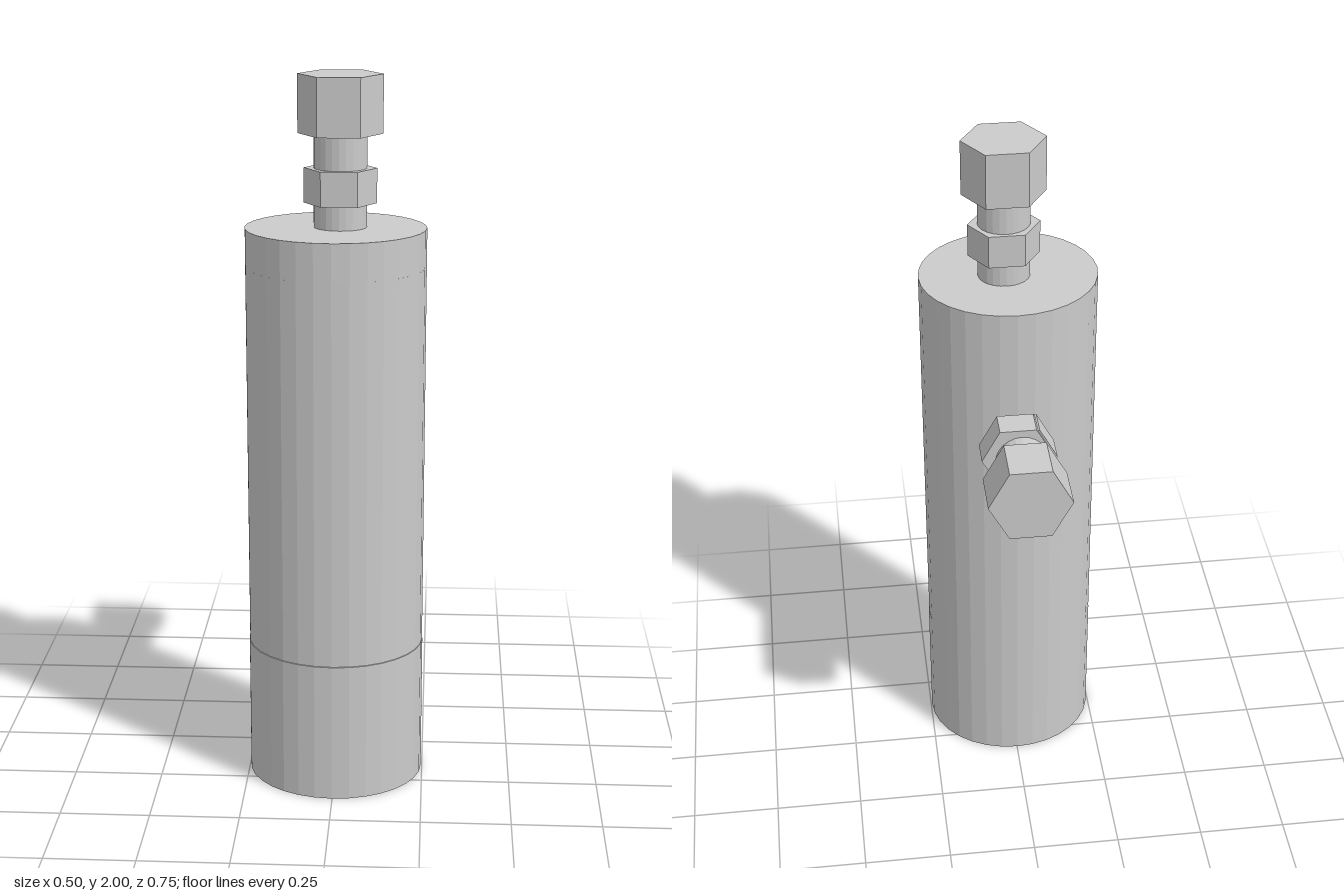
import * as THREE from 'three';

const material = new THREE.MeshStandardMaterial({ color: 0xcccccc, flatShading: true });

// Elliptical prism: rx across, rd in depth, running from 'from' to 'to' along its axis.
function prism(name, sides, rx, rd, from, to) {
  const start = sides === 6 ? Math.PI / 6 : 0; // hexagon corners point to +-x
  const geometry = new THREE.CylinderGeometry(1, 1, to - from, sides, 1, false, start);
  geometry.scale(rx, 1, rd);
  geometry.translate(0, (from + to) / 2, 0);
  const mesh = new THREE.Mesh(geometry, material);
  mesh.name = name;
  return mesh;
}

export function createModel() {
  const model = new THREE.Group();
  model.name = 'cylinderWithFittings';

  // Body in three stacked sections with fine joints
  const body = new THREE.Group();
  body.name = 'body';
  const sections = [
    ['bottomSection', 0, 0.4, 0.248, 0.225, 0.150],
    ['middleSection', 0.4, 1.485, 0.247, 0.224, 0.147],
    ['topSection', 1.485, 1.59, 0.247, 0.225, 0.146],
  ];
  for (const [name, from, to, rx, rz, z] of sections) {
    const part = prism(name, 32, rx, rz, from, to);
    part.position.set(-0.001, 0, z);
    body.add(part);
  }
  model.add(body);

  // Upright fitting on the top cap
  const topFitting = new THREE.Group();
  topFitting.name = 'topFitting';
  topFitting.position.set(0.011, 0, 0.139);
  topFitting.add(
    prism('topStem', 24, 0.072, 0.065, 1.585, 1.845),
    prism('topLockNut', 6, 0.099, 0.086, 1.655, 1.75),
    prism('topCapNut', 6, 0.115, 0.1035, 1.842, 2),
  );
  model.add(topFitting);

  // Side fitting, its axis turned to point backwards
  const sideFitting = new THREE.Group();
  sideFitting.name = 'sideFitting';
  sideFitting.rotation.x = -Math.PI / 2;
  sideFitting.position.set(0, 1.183, 0);
  const innerNut = prism('sideLockNutInner', 6, 0.1, 0.107, 0.087, 0.165);
  const outerNut = prism('sideLockNutOuter', 6, 0.1, 0.107, 0.1, 0.177);
  outerNut.position.set(0.01, 0, 0.01);
  sideFitting.add(
    innerNut,
    outerNut,
    prism('sideStem', 24, 0.074, 0.082, 0.1, 0.245),
    prism('sideCapNut', 6, 0.115, 0.124, 0.243, 0.375),
  );
  model.add(sideFitting);

  return model;
}
